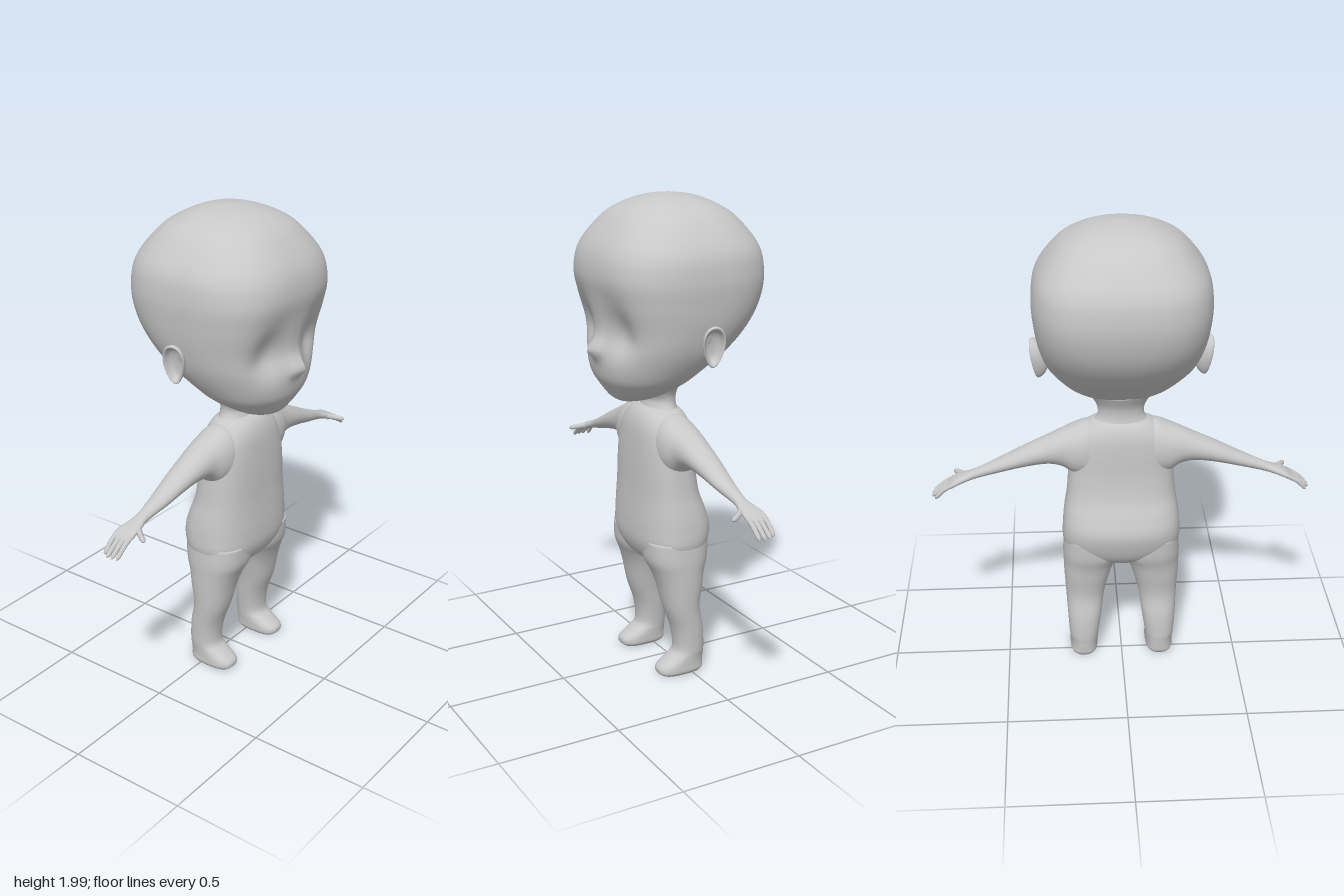
import * as THREE from 'three';

const skin = new THREE.MeshStandardMaterial({ color: 0xc8c8c8 });
skin.name = 'plain grey';

const upright = (a, t, b) => [a, t, b];
const sideways = (s) => (a, t, b) => [s * t, a, b];
const mirrored = (s) => (a, t, b) => [s * a, t, b];

// Smooth closed skin through rows of [t, aMin, aMax, bMin, bMax, squareness]
function loft(rows, place, flip, around = 40, steps = 5, reshape) {
  const pos = [], index = [];
  const n = (rows.length - 1) * steps;
  const spline = (k, u) => {
    const i = Math.min(Math.floor(u), rows.length - 2), f = u - i;
    const at = (j) => rows[Math.max(0, Math.min(rows.length - 1, j))][k];
    const [p0, p1, p2, p3] = [at(i - 1), at(i), at(i + 1), at(i + 2)];
    const m0 = (p2 - p0) / 2, m1 = (p3 - p1) / 2, d = p1 - p2;
    return p1 + f * (m0 + f * (-3 * d - 2 * m0 - m1 + f * (2 * d + m0 + m1)));
  };
  for (let r = 0; r <= n; r++) {
    const [t, a0, a1, b0, b1, e] = [0, 1, 2, 3, 4, 5].map((k) => spline(k, r / steps));
    for (let j = 0; j < around; j++) {
      const w = (j / around) * Math.PI * 2, c = Math.cos(w), s = Math.sin(w);
      const a = (a0 + a1) / 2 + ((a1 - a0) / 2) * Math.sign(c) * Math.abs(c) ** (2 / e);
      const b = (b0 + b1) / 2 + ((b1 - b0) / 2) * Math.sign(s) * Math.abs(s) ** (2 / e);
      const p = place(a, t, b);
      if (reshape) reshape(p);
      pos.push(...p);
    }
  }
  const tri = (a, b, c) => (flip ? index.push(a, c, b) : index.push(a, b, c));
  for (let r = 0; r < n; r++) {
    for (let j = 0; j < around; j++) {
      const k = (j + 1) % around, p = r * around, q = p + around;
      tri(p + j, q + j, p + k);
      tri(p + k, q + j, q + k);
    }
  }
  // End caps
  for (const [start, last] of [[0, false], [n * around, true]]) {
    const m = [0, 0, 0];
    for (let j = 0; j < around; j++) for (let k = 0; k < 3; k++) m[k] += pos[(start + j) * 3 + k] / around;
    const centre = pos.length / 3;
    pos.push(...m);
    for (let j = 0; j < around; j++) {
      const k = (j + 1) % around;
      last ? tri(centre, start + k, start + j) : tri(centre, start + j, start + k);
    }
  }
  const g = new THREE.BufferGeometry();
  g.setAttribute('position', new THREE.Float32BufferAttribute(pos, 3));
  g.setIndex(index);
  g.computeVertexNormals();
  return g;
}

// Rows that are symmetric about x = 0: [y, halfWidth, zBack, zFront, squareness]
const symmetric = (rows) => rows.map(([y, w, b, f, e]) => [y, -w, w, b, f, e]);

const headRows = symmetric([
  [1.18, 0.05, 0.14, 0.225, 2],
  [1.2, 0.115, 0.06, 0.255, 2],
  [1.25, 0.195, -0.035, 0.29, 2.1],
  [1.3, 0.245, -0.1, 0.312, 2.2],
  [1.4, 0.303, -0.22, 0.325, 2.4],
  [1.5, 0.333, -0.3, 0.325, 2.6],
  [1.6, 0.349, -0.34, 0.335, 2.8],
  [1.7, 0.355, -0.352, 0.347, 2.8],
  [1.8, 0.336, -0.333, 0.326, 2.7],
  [1.9, 0.265, -0.262, 0.255, 2.5],
  [1.95, 0.198, -0.195, 0.19, 2.4],
  [1.985, 0.11, -0.11, 0.105, 2.2],
  [2.0, 0.005, -0.005, 0.005, 2],
]);

const bell = (v, s) => Math.exp(-((v / s) ** 2));

// Eye hollows and a small pointed nose
function sculptFace(p) {
  if (p[2] < 0.1) return;
  const x = Math.abs(p[0]), y = p[1];
  const front = Math.min(1, (p[2] - 0.1) / 0.12);
  const hollow = bell(x - 0.135, 0.085) * bell(y - 1.465, y > 1.465 ? 0.12 : 0.075);
  const nose = bell(x, 0.033) * bell(y - 1.395, y > 1.395 ? 0.045 : 0.03);
  p[2] += front * (0.042 * nose - 0.05 * hollow);
}

const torsoRows = symmetric([
  [0.455, 0.03, 0.0, 0.07, 2],
  [0.48, 0.1, -0.05, 0.12, 2.1],
  [0.52, 0.215, -0.09, 0.16, 2.4],
  [0.58, 0.249, -0.115, 0.182, 2.6],
  [0.65, 0.25, -0.127, 0.184, 2.6],
  [0.72, 0.243, -0.108, 0.18, 2.6],
  [0.8, 0.23, -0.078, 0.175, 2.6],
  [0.9, 0.222, -0.063, 0.172, 2.6],
  [1.0, 0.215, -0.06, 0.166, 2.5],
  [1.07, 0.19, -0.055, 0.157, 2.4],
  [1.12, 0.145, -0.038, 0.135, 2.2],
  [1.145, 0.09, -0.01, 0.1, 2],
]);

const neckRows = symmetric([
  [1.11, 0.13, -0.03, 0.12, 2],
  [1.145, 0.103, -0.02, 0.105, 2],
  [1.175, 0.095, -0.018, 0.1, 2],
  [1.21, 0.105, -0.025, 0.12, 2],
  [1.26, 0.14, -0.05, 0.16, 2],
]);

const legRows = [
  [0.006, 0.118, 0.218, -0.055, 0.128, 2.8],
  [0.02, 0.108, 0.227, -0.064, 0.142, 2.8],
  [0.045, 0.106, 0.227, -0.067, 0.138, 2.5],
  [0.075, 0.105, 0.227, -0.069, 0.095, 2.3],
  [0.11, 0.103, 0.23, -0.071, 0.06, 2.2],
  [0.2, 0.09, 0.236, -0.066, 0.067, 2.2],
  [0.3, 0.075, 0.242, -0.05, 0.1, 2.2],
  [0.4, 0.05, 0.248, -0.064, 0.122, 2.3],
  [0.46, 0.028, 0.25, -0.075, 0.142, 2.3],
  [0.52, 0.0, 0.251, -0.093, 0.166, 2.4],
  [0.6, 0.0, 0.247, -0.1, 0.17, 2.4],
];

const armRows = [
  [0.06, 0.88, 1.12, -0.03, 0.13, 2],
  [0.14, 0.88, 1.127, -0.045, 0.14, 2.2],
  [0.2, 0.895, 1.108, -0.043, 0.132, 2.2],
  [0.25, 0.928, 1.088, -0.036, 0.113, 2.1],
  [0.31, 0.939, 1.06, -0.029, 0.102, 2],
  [0.4, 0.928, 1.018, -0.02, 0.09, 2],
  [0.5, 0.905, 0.968, -0.008, 0.075, 2],
  [0.6, 0.88, 0.923, 0.002, 0.055, 2],
  [0.65, 0.867, 0.903, -0.008, 0.063, 2.2],
  [0.69, 0.856, 0.888, -0.021, 0.066, 2.6],
  [0.72, 0.846, 0.868, -0.022, 0.064, 2.8],
  [0.73, 0.842, 0.858, -0.018, 0.06, 2.8],
];

// Tapered finger with a rounded tip, following a curve
function fingerGeometry(points, radius) {
  const curve = new THREE.CatmullRomCurve3(points.map((p) => new THREE.Vector3(...p)));
  const g = new THREE.TubeGeometry(curve, 14, radius, 10);
  const p = g.attributes.position, v = new THREE.Vector3();
  for (let i = 0; i < p.count; i++) {
    const u = Math.floor(i / 11) / 14, c = curve.getPointAt(u);
    const k = (1 - 0.2 * u) * Math.sqrt(Math.max(0, 1 - Math.max(0, (u - 0.8) / 0.2) ** 2));
    v.fromBufferAttribute(p, i).sub(c).multiplyScalar(k).add(c);
    p.setXYZ(i, v.x, v.y, v.z);
  }
  g.computeVertexNormals();
  return g;
}

// Ear cup: a lathed dish with a rolled rim
function earGeometry() {
  const profile = [[0, 0.0], [0.4, 0.0], [0.75, 0.016], [0.95, 0.036], [1, 0.048],
    [0.94, 0.055], [0.82, 0.048], [0.68, 0.032], [0.4, 0.024], [0, 0.022]];
  const curve = new THREE.SplineCurve(profile.map(([r, h]) => new THREE.Vector2(r, h)));
  const pts = curve.getPoints(30).map((q) => new THREE.Vector2(Math.max(0, q.x), q.y));
  const g = new THREE.LatheGeometry(pts, 32);
  g.scale(0.085, 1, 0.045);
  g.rotateZ(-Math.PI / 2);
  // Narrow the lobe
  const p = g.attributes.position;
  for (let i = 0; i < p.count; i++) p.setZ(i, p.getZ(i) * (1 + 3 * p.getY(i)));
  g.computeVertexNormals();
  return g;
}

export function createModel() {
  const model = new THREE.Group();
  model.name = 'figure';
  const add = (name, geometry, parent = model) => {
    const mesh = new THREE.Mesh(geometry, skin);
    mesh.name = name;
    parent.add(mesh);
    return mesh;
  };

  add('head', loft(headRows, upright, false, 96, 8, sculptFace));
  add('neck', loft(neckRows, upright, false));
  add('torso', loft(torsoRows, upright, false, 48));

  for (const s of [1, -1]) {
    const side = s > 0 ? 'left' : 'right';
    add(side + 'Leg', loft(legRows, mirrored(s), s < 0));
    add(side + 'Arm', loft(armRows, sideways(s), s > 0));

    // Four fingers and a thumb
    const hand = new THREE.Group();
    hand.name = side + 'Fingers';
    model.add(hand);
    [-0.013, 0.01, 0.032, 0.054].forEach((z, i) => {
      const tip = [0.782, 0.797, 0.797, 0.79][i];
      add('finger', fingerGeometry([[s * 0.7, 0.868, z], [s * 0.745, 0.842, z], [s * tip, 0.803, z]], 0.0105), hand);
    });
    add('thumb', fingerGeometry([[s * 0.645, 0.885, 0.04], [s * 0.675, 0.876, 0.075], [s * 0.704, 0.866, 0.12]], 0.013), hand);

    // Ears tilt outward at the top and back
    const ear = add(side + 'Ear', earGeometry());
    ear.position.set(s * 0.298, 1.445, -0.022);
    ear.rotation.set(0, s > 0 ? -0.2 : Math.PI + 0.2, 0);
    ear.rotation.z = -0.16;
  }
  return model;
}
